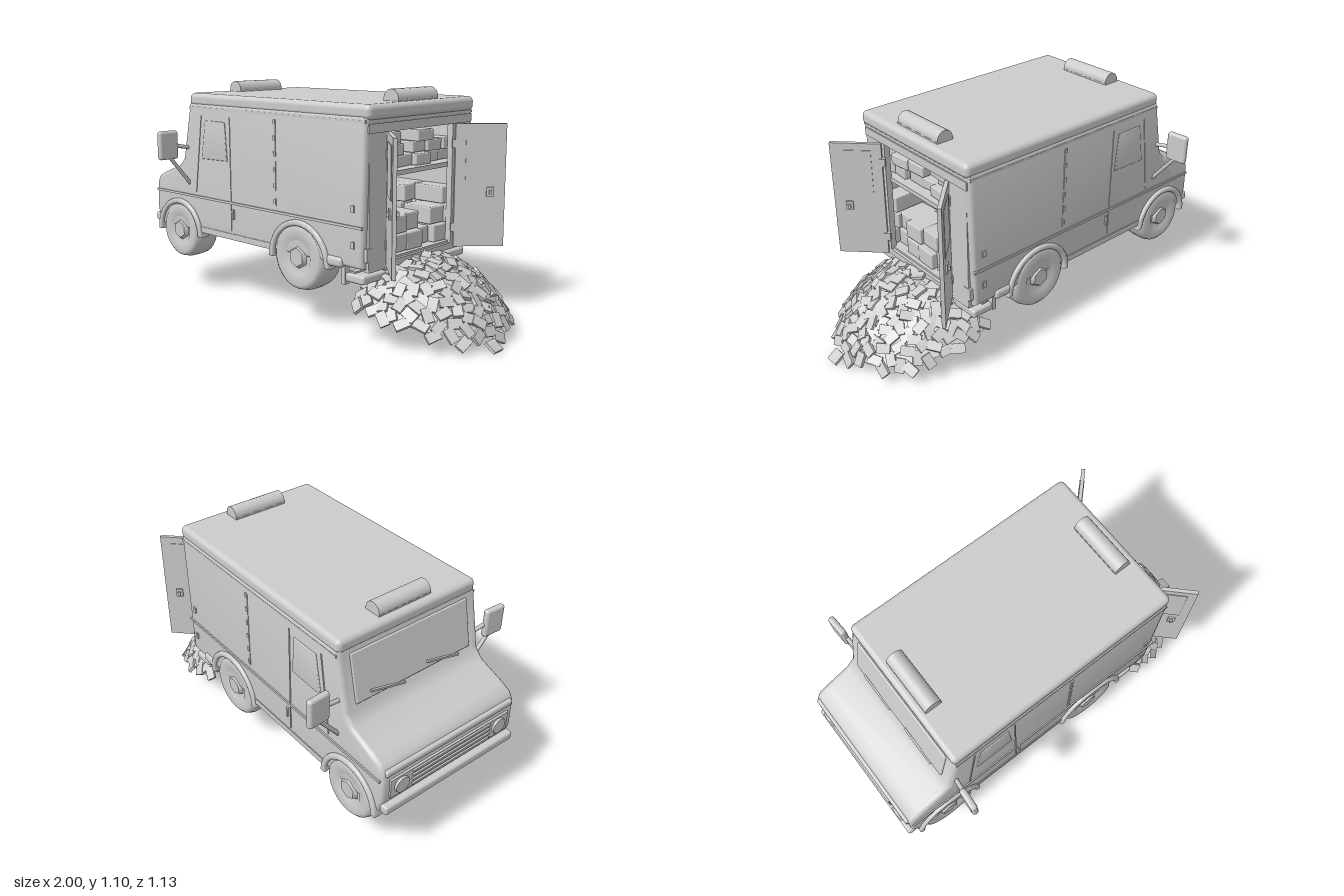
import * as THREE from 'three';
import { toCreasedNormals } from 'three/addons/utils/BufferGeometryUtils.js';
import { RoundedBoxGeometry } from 'three/addons/geometries/RoundedBoxGeometry.js';

const grey = new THREE.MeshStandardMaterial({ color: 0xcccccc });
const sheet = new THREE.MeshStandardMaterial({ color: 0xcccccc, side: THREE.DoubleSide });

let seed = 7;
const rand = () => (seed = (seed * 16807) % 2147483647) / 2147483647;
const spread = (a, b) => a + (b - a) * rand();

export function createModel() {
  const model = new THREE.Group();

  const add = (name, geo, x = 0, y = 0, z = 0, parent = model, mat = grey) => {
    const mesh = new THREE.Mesh(geo, mat);
    mesh.name = name;
    mesh.position.set(x, y, z);
    parent.add(mesh);
    return mesh;
  };
  const box = (name, w, h, d, x, y, z, parent) => add(name, new THREE.BoxGeometry(w, h, d), x, y, z, parent);
  const soft = (name, w, h, d, r, x, y, z, parent) =>
    add(name, new RoundedBoxGeometry(w, h, d, 3, r), x, y, z, parent);
  const shapeOf = pts => new THREE.Shape(pts.map(p => new THREE.Vector2(...p)));
  // Extrusion along z between z0 and z1, with an optional bevel kept inside the outline
  const slab = (name, shape, z0, z1, bevel = 0) => {
    const geo = new THREE.ExtrudeGeometry(shape, {
      depth: z1 - z0 - 2 * bevel, bevelEnabled: bevel > 0, bevelSize: bevel,
      bevelThickness: bevel, bevelOffset: -bevel, bevelSegments: 3, curveSegments: 20,
    });
    geo.translate(0, 0, z0 + bevel);
    return add(name, toCreasedNormals(geo, 0.6));
  };
  const rod = (name, a, b, r, parent) => {
    const curve = new THREE.LineCurve3(new THREE.Vector3(...a), new THREE.Vector3(...b));
    return add(name, new THREE.TubeGeometry(curve, 1, r, 8), 0, 0, 0, parent);
  };

  // Body: side outline, with the middle hollowed from the rear for the cargo space
  const outline = [[-0.955, 0.335], [-0.975, 0.42], [-0.97, 0.56], [-0.95, 0.595], [-0.9, 0.62],
    [-0.77, 0.668], [-0.73, 0.71], [-0.667, 1.0]];
  slab('bodyCore', shapeOf([[0.5, 0.335], [0.5, 0.36], [-0.1, 0.36], [-0.1, 0.93], [0.515, 0.93],
    [0.52, 1.0], ...[...outline].reverse()]), -0.372, 0.372);
  const sideShape = shapeOf([...[...outline].reverse(), [0.5, 0.335], [0.52, 1.0]]);
  soft('roof', 1.205, 0.068, 0.776, 0.025, -0.07, 1.013, 0);
  box('roofGutter', 1.18, 0.012, 0.786, -0.075, 0.975, 0);
  box('rearLintel', 0.012, 0.04, 0.75, 0.518, 0.945, 0);
  box('rearSill', 0.03, 0.03, 0.72, 0.5, 0.335, 0);

  // Roof light bars
  for (const x of [-0.595, 0.45]) {
    const bar = add('lightBar', new THREE.CylinderGeometry(0.042, 0.042, 0.29, 20), x, 1.058, 0);
    bar.rotation.x = Math.PI / 2;
    box('lightBarBase', 0.085, 0.03, 0.29, x, 1.04, 0);
  }

  // Windscreen, laid on the slanted front
  const screen = soft('windscreen', 0.014, 0.235, 0.66, 0.006, -0.7, 0.855, 0);
  screen.rotation.z = -0.214;
  for (const z of [-0.16, 0.16]) {
    const wiper = box('wiper', 0.01, 0.01, 0.2, -0.733, 0.755, z);
    wiper.rotation.x = 0.25;
  }

  // Nose: bonnet lip, grille, headlights and bumper
  soft('bonnetLip', 0.03, 0.035, 0.75, 0.012, -0.965, 0.555, 0);
  box('grillePanel', 0.02, 0.1, 0.7, -0.972, 0.465, 0);
  for (let i = 0; i < 4; i++) box('grilleSlat', 0.02, 0.011, 0.46, -0.98, 0.43 + i * 0.025, 0);
  soft('frontBumper', 0.045, 0.045, 0.77, 0.012, -0.977, 0.366, 0);

  // Wheel profile, turned around its own axle
  const tyre = (r, w) => new THREE.LatheGeometry([[0, -w], [r * 0.85, -w], [r * 0.97, -w * 0.75],
    [r, -w * 0.3], [r, w * 0.4], [r * 0.94, w * 0.8], [r * 0.82, w], [r * 0.5, w * 0.9],
    [r * 0.42, w * 0.75], [0, w * 0.75]].map(p => new THREE.Vector2(...p)), 28).rotateX(Math.PI / 2);
  const arch = (r0, r1, x, y) => {
    const s = new THREE.Shape();
    s.absarc(x, y, r1, -0.02, Math.PI + 0.02, false);
    s.absarc(x, y, r0, Math.PI + 0.02, -0.02, true);
    return s;
  };

  for (const side of [1, -1]) {
    const z = v => side * v;
    const span = (a, b) => (side > 0 ? [a, b] : [-b, -a]);

    slab('bodySide', sideShape, ...span(0.335, 0.392), 0.02);
    box('rearPillar', 0.03, 0.6, 0.125, 0.5, 0.635, z(0.3));
    box('beltTrim', 1.44, 0.012, 0.012, -0.215, 0.52, z(0.392));
    box('noseTrim', 0.04, 0.012, 0.012, -0.94, 0.52, z(0.392));
    box('sill', 0.54, 0.03, 0.012, -0.33, 0.35, z(0.39));

    // Cab door: window, seams and handle
    slab('cabWindow', shapeOf([[-0.575, 0.72], [-0.54, 0.915], [-0.39, 0.915], [-0.375, 0.725]]),
      ...span(0.38, 0.397), 0.004);
    box('doorSeam', 0.006, 0.56, 0.006, -0.355, 0.66, z(0.392));
    const frontSeam = box('doorSeam', 0.006, 0.4, 0.006, -0.6, 0.74, z(0.392));
    frontSeam.rotation.z = -0.14;
    box('doorHandle', 0.012, 0.05, 0.014, -0.335, 0.465, z(0.394));

    // Riveted panel joint and marker lights
    box('panelJoint', 0.012, 0.4, 0.005, -0.035, 0.75, z(0.392));
    for (let i = 0; i < 6; i++) box('rivet', 0.014, 0.022, 0.012, -0.035, 0.57 + i * 0.074, z(0.392));
    box('markerLight', 0.018, 0.03, 0.012, 0.45, 0.6, z(0.393));
    box('markerLight', 0.018, 0.03, 0.012, 0.45, 0.44, z(0.393));

    // Headlight on the nose
    const lamp = add('headlight', new THREE.CylinderGeometry(0.038, 0.042, 0.025, 20), -0.98, 0.467, z(0.29));
    lamp.rotation.z = Math.PI / 2;

    // Wheels with flared arches
    for (const [x, y, r, x0] of [[-0.77, 0.325, 0.15, -0.77], [0.11, 0.328, 0.162, 0.12]]) {
      const wheel = add('wheel', tyre(r, 0.075), x, y, z(0.326));
      if (side < 0) wheel.rotation.y = Math.PI;
      const hub = add('wheelHub', new THREE.CylinderGeometry(0.045, 0.062, 0.03, 6), x, y, z(0.387));
      hub.rotation.x = side * Math.PI / 2;
      slab('wheelArch', arch(r + 0.004, r + 0.032, x0, 0.31), ...span(0.35, 0.408), 0.01);
    }
    soft('rearArchTail', 0.1, 0.05, 0.05, 0.02, 0.34, 0.35, z(0.38));

    // Rear light cluster and bumper step
    box('tailLight', 0.02, 0.06, 0.045, 0.508, 0.4, z(0.355));
    soft('rearStep', 0.11, 0.04, 0.16, 0.012, 0.445, 0.285, z(0.3));
    box('stepBracket', 0.02, 0.09, 0.03, 0.36, 0.285, z(0.34));

    // Wing mirror on two stays
    const mirror = new THREE.Group();
    mirror.name = 'wingMirror';
    model.add(mirror);
    const head = soft('mirrorHead', 0.032, 0.145, 0.11, 0.014, -0.7, 0.788, z(0.508), mirror);
    head.rotation.y = side * -0.06;
    rod('mirrorUpperStay', [-0.685, 0.765, z(0.37)], [-0.695, 0.785, z(0.48)], 0.01, mirror);
    rod('mirrorLowerStay', [-0.685, 0.58, z(0.385)], [-0.695, 0.73, z(0.505)], 0.01, mirror);

    // Open rear door, hinged at the edge of the opening
    const door = new THREE.Group();
    door.name = 'rearDoor';
    door.position.set(0.525, 0.63, z(0.245));
    door.rotation.y = side * -Math.PI / 4;
    model.add(door);
    box('doorPanel', 0.242, 0.59, 0.018, 0.121, 0, 0, door);
    box('doorInset', 0.15, 0.23, 0.024, 0.125, 0.145, 0, door);
    box('doorLatchPlate', 0.035, 0.045, 0.034, 0.17, -0.03, 0, door);
    box('doorLatchLever', 0.014, 0.02, 0.055, 0.17, -0.03, 0, door);
    for (const y of [-0.2, 0.2]) box('doorHinge', 0.03, 0.04, 0.028, 0, y, 0, door);
  }
  box('rearCrossBar', 0.03, 0.025, 0.72, 0.42, 0.3, 0);

  // Cargo shelf and stacked bundles
  box('cargoShelf', 0.59, 0.022, 0.69, 0.195, 0.73, 0);
  const stack = (x, zMid, y0, count, h) => {
    for (let i = 0; i < count; i++) {
      const b = soft('bundle', 0.17, h * 0.97, spread(0.095, 0.115), 0.006,
        x + spread(-0.025, 0.025), y0 + h * (i + 0.5), zMid + spread(-0.01, 0.01));
      b.rotation.y = spread(-0.1, 0.1);
    }
  };
  [3, 2, 2, 2, 1, 2, 3].forEach((n, i) => stack(0.38, 0.3 - i * 0.1, 0.36, n, 0.085));
  [3, 3, 2, 2, 2, 3, 3].forEach((n, i) => stack(0.2, 0.3 - i * 0.1, 0.36, n, 0.085));
  [2, 3, 3, 1, 3, 2, 2].forEach((n, i) => stack(0.36, 0.3 - i * 0.1, 0.741, n, 0.055));

  // Spilled heap: a sloping fan-shaped mound below the doors
  const heap = (a, b) => {
    const r = Math.hypot(a, b) || 1e-6;
    return new THREE.Vector3(0.5 + 0.45 * a, 0.315 - (0.17 + 0.11 * Math.max(a, 0) / r) * r ** 2.6, -0.385 * b);
  };
  const mound = new THREE.RingGeometry(0.01, 0.96, 28, 7, -Math.PI / 2 - 0.2, Math.PI + 0.4);
  const pos = mound.attributes.position;
  for (let i = 0; i < pos.count; i++) {
    const p = heap(pos.getX(i), pos.getY(i));
    pos.setXYZ(i, p.x, p.y, p.z);
  }
  mound.computeVertexNormals();
  add('heapMound', mound, 0, 0, 0, model, sheet);

  // Loose bundles scattered over the mound, lying along its slope
  const loose = new THREE.Group();
  loose.name = 'looseBundles';
  model.add(loose);
  const brick = new THREE.BoxGeometry(0.066, 0.016, 0.045);
  const up = new THREE.Vector3(0, 1, 0);
  for (let i = 0; i < 165; i++) {
    const r = Math.sqrt((i + 0.5) / 165);
    const t = -Math.PI / 2 - 0.2 + ((i * 0.618034) % 1) * (Math.PI + 0.4);
    const a = r * Math.cos(t), b = r * Math.sin(t), p = heap(a, b);
    const n = heap(a + 0.01, b).sub(p).cross(heap(a, b + 0.01).sub(p)).normalize();
    n.add(new THREE.Vector3(spread(-0.25, 0.25), 0, spread(-0.25, 0.25))).normalize();
    const m = add('looseBundle', brick, p.x, Math.max(p.y + spread(0, 0.02), 0.04), p.z, loose);
    m.quaternion.setFromUnitVectors(up, n);
    m.rotateY(spread(0, Math.PI));
  }
  const stray = box('strayBundle', 0.06, 0.014, 0.064, 0.968, 0.027, 0.07, loose);
  stray.rotation.z = -0.6;

  return model;
}
